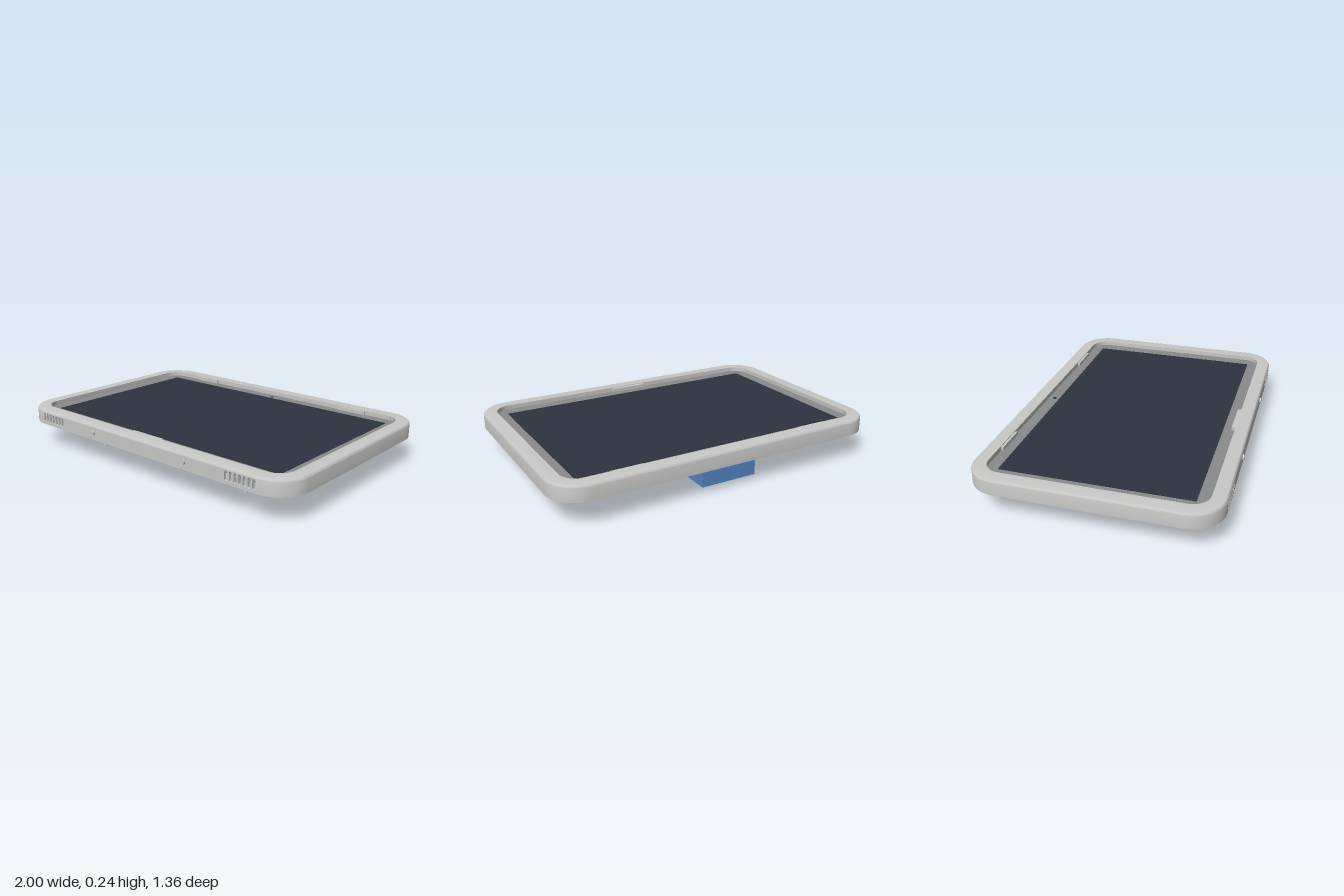
import * as THREE from 'three';
import { toCreasedNormals } from 'three/addons/utils/BufferGeometryUtils.js';

const mat = (name, color) => new THREE.MeshStandardMaterial({ name, color });
const CZ = -0.005, HX = 1, HZ = 0.675, R = 0.18; // case centre, half sizes, corner radius

// Rounded rectangle, inset from the case outline; starts and ends on the front edge
function outline(inset, y) {
  const r = R - inset, pts = [], steps = 10;
  const corners = [[1, 1], [1, -1], [-1, -1], [-1, 1]];
  corners.forEach(([sx, sz], c) => {
    for (let i = 0; i <= steps; i++) {
      const a = (Math.PI / 2) * (1 - c - i / steps);
      pts.push([sx * (HX - R) + r * Math.cos(a), y, CZ + sz * (HZ - R) + r * Math.sin(a)]);
    }
  });
  return pts;
}

// Hollow case: a wall-and-lip cross-section swept round the outline
function caseGeometry() {
  const profile = [[0, 0.15], [0, 0.225], [0.002, 0.232], [0.007, 0.238], [0.015, 0.24],
    [0.08, 0.24], [0.08, 0.214], [0.015, 0.214], [0.015, 0.15], [0, 0.15]];
  const frontGap = [0, 7, 8]; // the slotted front panel fills these strips
  const rings = profile.map(([d, y]) => outline(d, y));
  const pos = [];
  for (let k = 0; k < rings.length - 1; k++) {
    const lo = rings[k], hi = rings[k + 1], n = lo.length;
    for (let i = 0; i < n; i++) {
      if (i === n - 1 && frontGap.includes(k)) continue;
      const j = (i + 1) % n;
      pos.push(...lo[i], ...lo[j], ...hi[j], ...lo[i], ...hi[j], ...hi[i]);
    }
  }
  const g = new THREE.BufferGeometry();
  g.setAttribute('position', new THREE.Float32BufferAttribute(pos, 3));
  return toCreasedNormals(g, 0.6);
}

// Straight front wall with two rows of ventilation slots
function frontPanelGeometry() {
  const w = HX - R, s = new THREE.Shape();
  s.moveTo(-w, 0.15).lineTo(w, 0.15).lineTo(w, 0.225).lineTo(-w, 0.225).closePath();
  const r = 0.009;
  for (const side of [-1, 1]) {
    for (let i = 0; i < 7; i++) {
      const x = side * (0.638 + i * 0.0285), h = new THREE.Path();
      h.absarc(x, 0.211, r, 0, Math.PI, false);
      h.absarc(x, 0.174, r, Math.PI, 2 * Math.PI, false);
      h.closePath();
      s.holes.push(h);
    }
  }
  const g = new THREE.ExtrudeGeometry(s, { depth: 0.015, bevelEnabled: false, curveSegments: 6 });
  return g.translate(0, 0, CZ + HZ - 0.015);
}

// Flat slab with the rounded outline at a given inset
function slabGeometry(inset, y0, y1) {
  const s = new THREE.Shape(outline(inset, 0).map(p => new THREE.Vector2(p[0], -p[2])));
  const g = new THREE.ExtrudeGeometry(s, { depth: y1 - y0, bevelEnabled: false });
  return toCreasedNormals(g.rotateX(-Math.PI / 2).translate(0, y0, 0), 0.6);
}

export function createModel() {
  const model = new THREE.Group();
  model.name = 'tabletEnclosure';
  const shell = mat('caseGrey', 0xc8c9c7);
  const grey = mat('tabletGrey', 0x8a8b8d);
  const dark = mat('screenDark', 0x2c3440);
  const blue = mat('batteryBlue', 0x5487c4);

  const add = (name, geo, material, x = 0, y = 0, z = 0) => {
    const m = new THREE.Mesh(geo, material);
    m.name = name;
    m.position.set(x, y, z);
    model.add(m);
    return m;
  };
  // Box given by its limits
  const box = (name, material, x0, x1, y0, y1, z0, z1) =>
    add(name, new THREE.BoxGeometry(x1 - x0, y1 - y0, z1 - z0), material,
      (x0 + x1) / 2, (y0 + y1) / 2, (z0 + z1) / 2);
  // Upright cylinder between two heights
  const post = (name, material, r, x, y0, y1, z) =>
    add(name, new THREE.CylinderGeometry(r, r, y1 - y0, 20), material, x, (y0 + y1) / 2, z);

  // Case
  add('caseShell', caseGeometry(), shell);
  add('frontPanel', frontPanelGeometry(), shell);
  box('backPlate', shell, -0.68, 0.68, 0.157, 0.187, -0.664, 0.654);

  // Retaining clips on the lip
  box('frontClip', shell, -0.115, 0.115, 0.216, 0.236, 0.568, 0.59);
  for (const s of [-1, 1]) {
    box('rearClip', shell, s * 0.59 - 0.09, s * 0.59 + 0.09, 0.216, 0.236, -0.605, -0.585);
  }

  // Tablet
  add('tablet', slabGeometry(0.04, 0.185, 0.21), grey);
  box('screen', dark, -0.85, 0.85, 0.209, 0.213, -0.535, 0.52);
  post('frontCamera', dark, 0.011, 0, 0.208, 0.212, -0.566);
  post('rearCamera', grey, 0.055, -0.775, 0.18, 0.188, -0.45);

  // Front buttons and support legs
  for (const s of [-1, 1]) {
    const button = new THREE.CylinderGeometry(0.016, 0.016, 0.03, 20).rotateX(Math.PI / 2);
    add('frontButton', button, shell, s * 0.354, 0.195, 0.665);
    post('supportLeg', shell, 0.011, s * 0.56, 0, 0.165, 0.413);
  }

  // Battery box with its fixing pins
  box('batteryBox', blue, -0.17, 0.17, 0.037, 0.143, -0.633, -0.057);
  for (const z of [-0.1, -0.59]) post('fixingPin', shell, 0.008, 0, 0.032, 0.16, z);

  return model;
}
